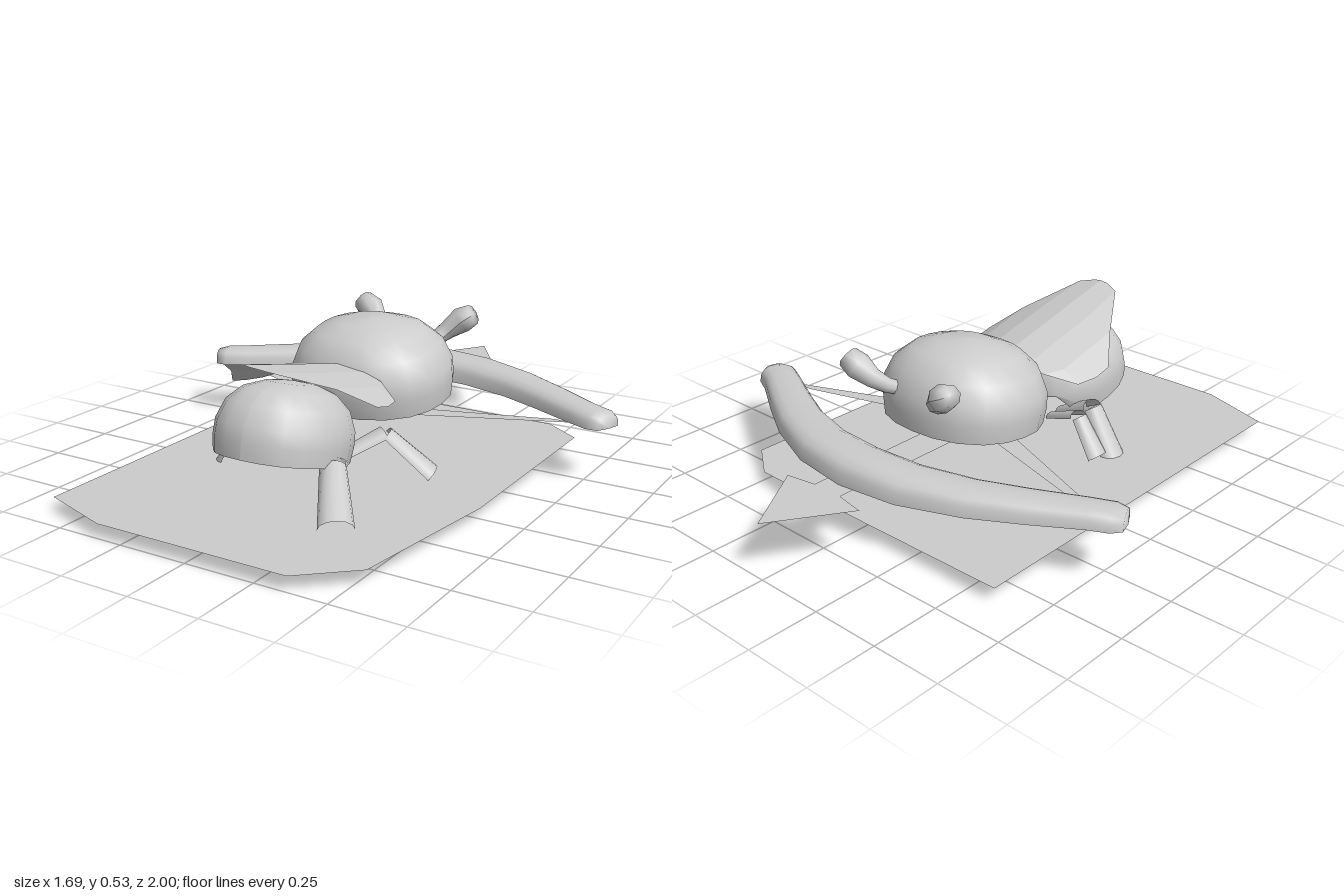
import * as THREE from 'three';

// All shells are open or thin, so both sides show
const grey = new THREE.MeshStandardMaterial({ color: 0xcccccc, side: THREE.DoubleSide });
grey.name = 'plain grey';

function part(name, geometry) {
  const mesh = new THREE.Mesh(geometry, grey);
  mesh.name = name;
  return mesh;
}

// Grid of points (rows of equal length) joined into a smooth surface
function surface(rows) {
  const n = rows[0].length, index = [];
  for (let i = 0; i < rows.length - 1; i++) {
    for (let j = 0; j < n - 1; j++) {
      const a = i * n + j, b = a + n;
      index.push(a, b, a + 1, a + 1, b, b + 1);
    }
  }
  const g = new THREE.BufferGeometry();
  g.setAttribute('position', new THREE.Float32BufferAttribute(rows.flat(2), 3));
  g.setIndex(index);
  g.computeVertexNormals();
  return g;
}

// Sweep along stations [x, y, z, width radius, height radius]; a low power squares the section
function sweep(stations, arc, sides, power = 1) {
  const up = new THREE.Vector3(0, 1, 0);
  const round = v => Math.sign(v) * Math.abs(v) ** power;
  const pts = stations.map(s => new THREE.Vector3(s[0], s[1], s[2]));
  return surface(stations.map((s, i) => {
    const t = pts[Math.min(i + 1, pts.length - 1)].clone().sub(pts[Math.max(i - 1, 0)]).normalize();
    const side = t.clone().cross(up).normalize();
    const normal = side.clone().cross(t);
    return Array.from({ length: sides + 1 }, (_, j) => {
      const a = arc * j / sides;
      return pts[i].clone().addScaledVector(side, round(Math.cos(a)) * s[3])
        .addScaledVector(normal, round(Math.sin(a)) * s[4]).toArray();
    });
  }));
}

// Domed body shell, open below, slightly squared in plan; notch raises the rear rim
function dome(rx, h, rz, tilt, y, z, notch) {
  const profile = [[0.97, 0], [1, 0.22], [0.99, 0.42], [0.88, 0.68], [0.66, 0.87], [0.36, 0.97], [0, 1]];
  const g = new THREE.LatheGeometry(profile.map(p => new THREE.Vector2(...p)), 20);
  const pos = g.attributes.position;
  for (let i = 0; i < pos.count; i++) {
    const x = pos.getX(i), w = pos.getZ(i), r = Math.hypot(x, w);
    if (r < 1e-5) continue;
    const k = 1 / Math.pow(Math.abs(x / r) ** 2.3 + Math.abs(w / r) ** 2.3, 1 / 2.3);
    pos.setX(i, x * k);
    pos.setZ(i, w * k);
    if (w < 0 && Math.abs(x) < 0.65) pos.setY(i, Math.max(pos.getY(i), notch));
  }
  g.scale(rx, h, rz).rotateX(tilt).translate(0, y, z);
  g.computeVertexNormals();
  return g;
}

// Flat horizontal sheet from [x, z] outline
function sheet(outline, y) {
  const shape = new THREE.Shape(outline.map(([x, z]) => new THREE.Vector2(x, -z)));
  return new THREE.ShapeGeometry(shape).rotateX(-Math.PI / 2).translate(0, y, 0);
}

// Jointed leg of two half-round, open troughs: hip, knee, foot
function leg(name, hip, knee, foot, r) {
  const group = new THREE.Group();
  group.name = name;
  const limb = (a, b, r0, r1) => sweep([[...a, r0, r0 * 0.75], [...b, r1, r1 * 0.75]], Math.PI, 6);
  group.add(part('upperLeg', limb(hip, knee, r * 0.6, r * 0.75)));
  group.add(part('lowerLeg', limb(knee, foot, r * 0.75, r)));
  return group;
}

export function createModel() {
  const model = new THREE.Group();
  model.name = 'insectWithBow';

  // Ground plate
  model.add(part('groundPlate', sheet([[-0.61, -0.61], [0.47, -0.61], [0.61, -0.51], [0.61, 0.28],
    [0.535, 0.85], [0.365, 1], [-0.34, 1], [-0.61, 0.91]], 0.05)));

  // Body shells
  model.add(part('largeBody', dome(0.288, 0.28, 0.26, 0.1, 0.243, -0.087, 0)));
  model.add(part('smallBody', dome(0.212, 0.25, 0.238, -0.25, 0.175, 0.493, 0.4)));

  // Arched wing cover in flat bands: rows of [z, half width]
  const wing = surface([[0.125, 0.08], [0.15, 0.17], [0.22, 0.265], [0.3, 0.285], [0.37, 0.285],
    [0.48, 0.205], [0.67, 0.085], [0.69, 0.03]].map(([z, w]) =>
    [-0.3, -0.2, -0.1, 0, 0.1, 0.2, 0.3].map(c => {
      const x = Math.max(-w, Math.min(w, c)), a = Math.abs(x);
      const drop = 0.15 * a + 0.2 * Math.max(0, a - 0.1) + 0.25 * Math.max(0, a - 0.2);
      return [x, 0.4 + (z - 0.13) * 0.235 - drop, z];
    }))).toNonIndexed();
  wing.computeVertexNormals();
  model.add(part('wingCover', wing));

  // Antennae with thick blunt tips
  for (const s of [1, -1]) {
    model.add(part(s > 0 ? 'leftAntenna' : 'rightAntenna', sweep([
      [0.10 * s, 0.38, -0.29, 0.025, 0.025], [0.12 * s, 0.40, -0.335, 0.028, 0.028],
      [0.15 * s, 0.43, -0.37, 0.036, 0.036], [0.195 * s, 0.468, -0.392, 0.05, 0.048],
      [0.235 * s, 0.492, -0.4, 0.042, 0.038], [0.24 * s, 0.495, -0.4, 0, 0]], Math.PI * 2, 8)));
  }

  // Bow: flat-bottomed limb with knobbed ends
  const half = [[0.83, -0.25, 0, 0], [0.825, -0.252, 0.05, 0.046], [0.79, -0.268, 0.07, 0.055],
    [0.72, -0.302, 0.07, 0.058], [0.56, -0.395, 0.078, 0.065], [0.4, -0.48, 0.086, 0.072],
    [0.2, -0.55, 0.096, 0.08]];
  const bow = [...half.map(([x, z, w, h]) => [-x, 0.2, z, w, h]), [0, 0.2, -0.573, 0.1, 0.086],
    ...half.map(([x, z, w, h]) => [x, 0.2, z, w, h]).reverse()];
  model.add(part('bow', sweep(bow, Math.PI, 8, 0.75)));

  // Bowstring halves
  for (const s of [1, -1]) {
    const strip = [[0.71, -0.25], [0.63, -0.25], [0, -0.06], [0, 0.04]].map(([x, z]) => [x * s, z]);
    model.add(part(s > 0 ? 'leftString' : 'rightString', sheet(strip, 0.2)));
  }

  // Arrow
  model.add(part('arrow', sheet([[0, -1], [0.17, -0.74], [0.06, -0.72], [0.06, -0.02],
    [-0.06, -0.02], [-0.06, -0.72], [-0.17, -0.74]], 0.201)));

  // Legs
  model.add(leg('leftFrontLeg', [0.1, 0.12, 0.3], [0.2, 0.18, 0.5], [0.325, 0.06, 0.68], 0.058));
  model.add(leg('leftMiddleLeg', [0.09, 0.12, 0.3], [0.2, 0.19, 0.175], [0.335, 0.052, 0.11], 0.055));
  model.add(leg('rightFrontLeg', [-0.09, 0.12, 0.36], [-0.25, 0.2, 0.33], [-0.37, 0, 0.325], 0.055));
  model.add(leg('rightMiddleLeg', [-0.09, 0.12, 0.3], [-0.25, 0.19, 0.25], [-0.335, 0.06, 0.25], 0.045));
  return model;
}
